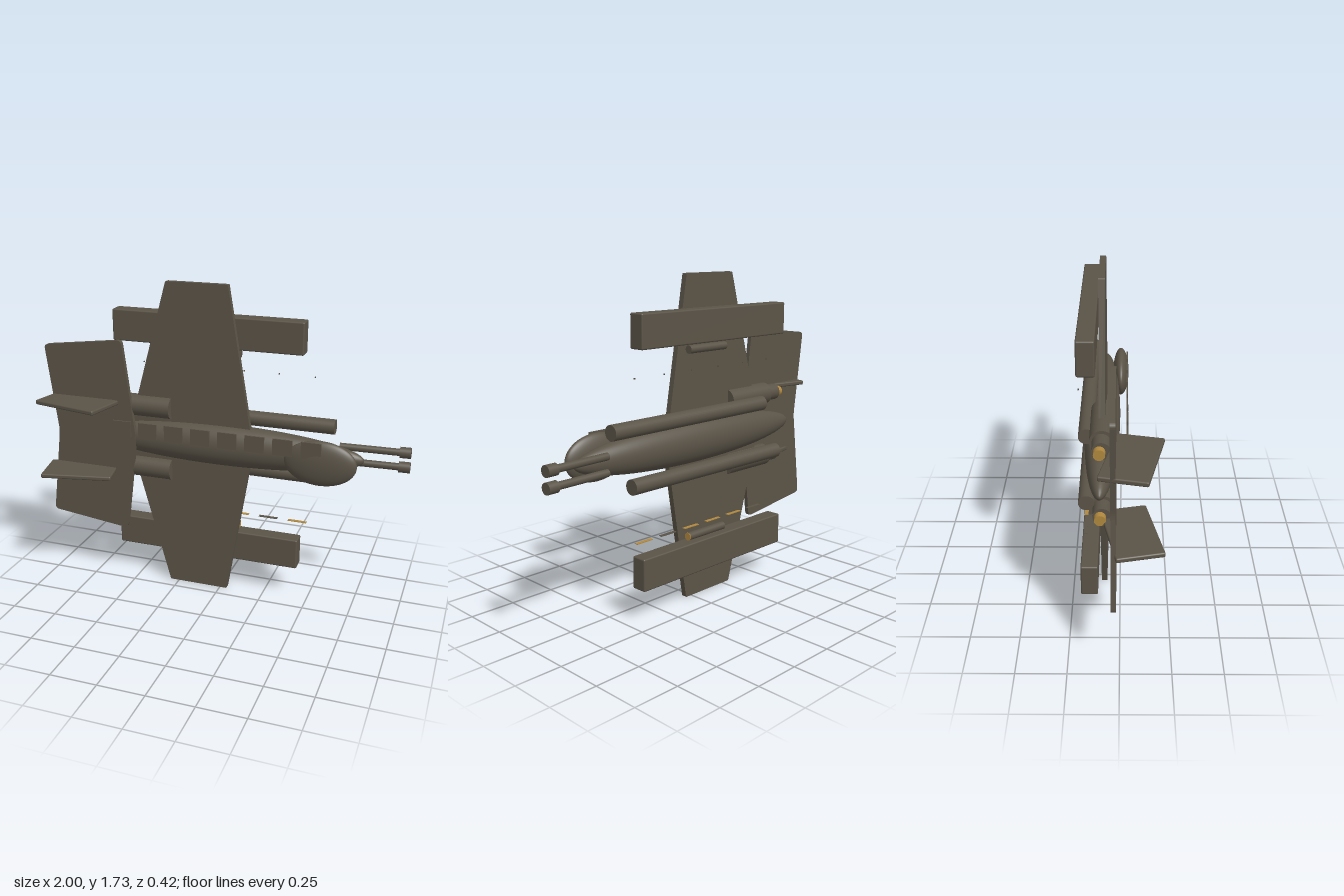
import * as THREE from 'three';
import { RoundedBoxGeometry } from 'three/addons/geometries/RoundedBoxGeometry.js';

export function createModel() {
  const model = new THREE.Group();
  model.name = 'aircraft';
  const hull = new THREE.MeshStandardMaterial({ color: 0x5a5347 });
  hull.name = 'hull';
  const brass = new THREE.MeshStandardMaterial({ color: 0xb0883f });
  brass.name = 'brass';
  const MID = 0.865; // height of the fuselage axis

  const add = (name, geometry, x, y, z, material = hull) => {
    const mesh = new THREE.Mesh(geometry, material);
    mesh.name = name;
    mesh.position.set(x, y, z);
    model.add(mesh);
    return mesh;
  };
  // cylinder along x from x0 to x1
  const rod = (name, x0, x1, y, z, r, material = hull) =>
    add(name, new THREE.CylinderGeometry(r, r, x1 - x0, 32).rotateZ(Math.PI / 2), (x0 + x1) / 2, y, z, material);
  const ellipsoid = (name, x, y, z, rx, ry, rz) =>
    add(name, new THREE.SphereGeometry(1, 48, 32).rotateZ(Math.PI / 2).scale(rx, ry, rz), x, y, z);

  // flat plate in the xy plane with rounded corners
  const plate = (name, points, radius, z0, depth) => {
    const pts = points.map(([x, y]) => new THREE.Vector2(x, y));
    const shape = new THREE.Shape();
    pts.forEach((p, i) => {
      const toward = (q) => q.clone().sub(p).setLength(radius).add(p);
      const a = toward(pts[(i + pts.length - 1) % pts.length]);
      const b = toward(pts[(i + 1) % pts.length]);
      if (i === 0) shape.moveTo(a.x, a.y);
      else shape.lineTo(a.x, a.y);
      shape.quadraticCurveTo(p.x, p.y, b.x, b.y);
    });
    shape.closePath();
    const geometry = new THREE.ExtrudeGeometry(shape, { depth, bevelEnabled: false, curveSegments: 5 });
    return add(name, geometry, 0, 0, z0);
  };

  // fuselage and cockpit
  ellipsoid('fuselage', -0.01, MID, -0.093, 0.785, 0.115, 0.092);
  ellipsoid('cockpit', 0.565, 0.86, 0, 0.19, 0.122, 0.045);

  // main wing and tailplane
  plate('wing', [[-0.3, 0], [0.04, 0], [0.185, MID], [0.04, 1.73], [-0.3, 1.73], [-0.54, MID]], 0.006, -0.1, 0.03);
  plate('tailplane', [[-1.003, 0.37], [-0.54, 0.315], [-0.47, MID], [-0.54, 1.412], [-1.003, 1.355], [-0.94, MID]],
    0.025, -0.04, 0.024);

  // tail fins, tilted in opposite senses
  for (const s of [1, -1]) {
    const fin = add('tailFin', new RoundedBoxGeometry(0.394, 0.025, 0.228, 3, 0.008), -0.783, MID + s * 0.199, 0.055);
    fin.rotation.y = -s * 0.21;
  }

  // pods under the wings with their small connecting rods
  for (const s of [1, -1]) {
    add('wingPod', new RoundedBoxGeometry(1.062, 0.172, 0.086, 3, 0.008), -0.098, MID + s * 0.607, -0.153);
    rod('podRod', -0.18, 0.086, MID + s * 0.492, -0.16, 0.021);
  }
  rod('podRodCap', 0.086, 0.09, MID - 0.492, -0.16, 0.021, brass);

  // engines with stepped nozzles
  for (const s of [1, -1]) {
    const y = MID + s * 0.178;
    rod('engine', -0.6, -0.28, y, -0.083, 0.06);
    rod('engineNozzle', -0.685, -0.6, y, -0.085, 0.045);
    rod('engineExhaust', -0.72, -0.685, y, -0.093, 0.028, brass);
  }

  // long belly tubes, staggered
  rod('bellyTube', -0.49, 0.605, 1.01, -0.16, 0.04);
  rod('bellyTube', -0.62, 0.478, 0.72, -0.16, 0.04);

  // nose guns, slightly tilted
  for (const y of [0.905, 0.825]) {
    const barrel = rod('gunBarrel', 0.632, 0.95, y, -0.172, 0.019);
    barrel.rotation.y = 0.04;
    const muzzle = rod('gunMuzzle', 0.942, 1, y, -0.18, 0.029);
    muzzle.rotation.y = 0.04;
  }

  // raised window plates along the back
  for (let i = 0; i < 8; i++) {
    add('windowPlate', new THREE.BoxGeometry(0.105, 0.088, 0.009), -0.527 + i * 0.15, 0.936, 0.036);
  }

  // marker strips and studs beneath the wings
  for (let i = 0; i < 6; i++) {
    add('markerStrip', new THREE.BoxGeometry(0.105, 0.003, 0.02), 0.415 - i * 0.166, 0.433, -0.176,
      i === 1 || i === 5 ? hull : brass);
    add('markerStud', new THREE.BoxGeometry(0.006, 0.006, 0.006), 0.48 - i * 0.193, 1.258, -0.193);
  }
  return model;
}
